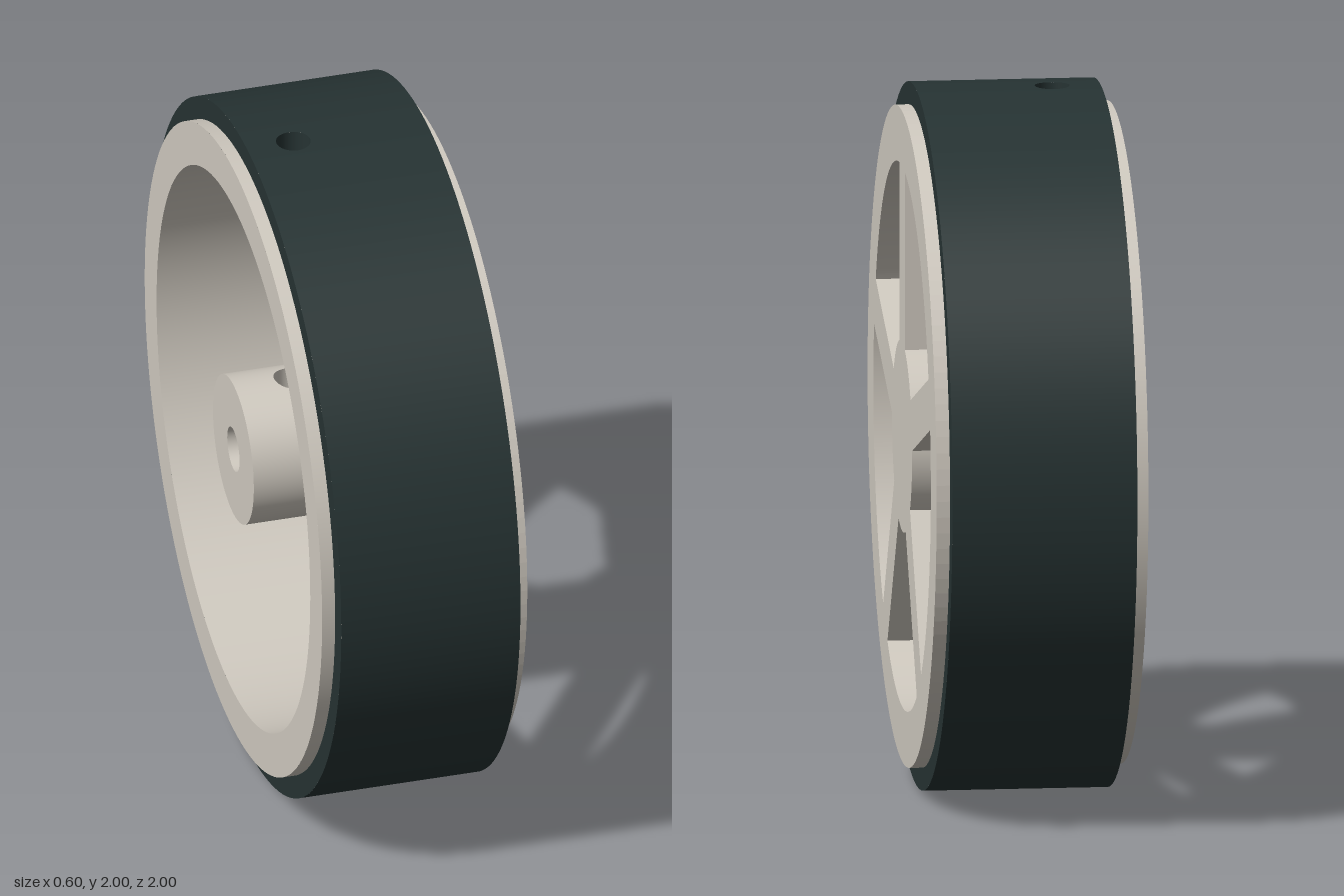
import * as THREE from 'three';

const SEG = 128;
const HOLE_X = -0.125; // position of the radial access holes along the axle

const R = {
  tyre: 1, rim: 0.935, rimInner: 0.81, opening: 0.777, disc: 0.272, hub: 0.215, bore: 0.065,
};

// Grid surface from a point rule and a normal rule; each face is wound to match its normal
function surface(nu, nv, point, normal) {
  const pos = [], nor = [], idx = [];
  for (let j = 0; j <= nv; j++) {
    for (let i = 0; i <= nu; i++) {
      const p = point(i / nu, j / nv);
      pos.push(p.x, p.y, p.z);
      nor.push(...normal(p).normalize().toArray());
    }
  }
  const at = (arr, k) => new THREE.Vector3().fromArray(arr, k * 3);
  const tri = (a, b, c) => {
    const A = at(pos, a);
    const n = at(pos, b).sub(A).cross(at(pos, c).sub(A));
    if (n.dot(at(nor, a)) >= 0) idx.push(a, b, c);
    else idx.push(a, c, b);
  };
  for (let j = 0; j < nv; j++) {
    for (let i = 0; i < nu; i++) {
      const a = j * (nu + 1) + i, b = a + 1, c = a + nu + 1, d = c + 1;
      tri(a, b, d);
      tri(a, d, c);
    }
  }
  const g = new THREE.BufferGeometry();
  g.setAttribute('position', new THREE.Float32BufferAttribute(pos, 3));
  g.setAttribute('normal', new THREE.Float32BufferAttribute(nor, 3));
  g.setIndex(idx);
  return g;
}

const onCylinder = (r, x, z) => new THREE.Vector3(x, Math.sqrt(Math.max(0, r * r - z * z)), z);

// Cylinder wall around the x axis with a round hole of radius hr at its top; sign -1 faces inward
function piercedWall(r, x0, x1, hr, sign) {
  const w = hr + 0.5 * (r - hr);
  const a = Math.asin(w / r);
  const normal = (p) => new THREE.Vector3(0, p.y * sign, p.z * sign);
  const arc = surface(SEG, 1, (u, v) => {
    const t = a + u * 2 * (Math.PI - a);
    return new THREE.Vector3(x0 + v * (x1 - x0), r * Math.cos(t), r * Math.sin(t));
  }, normal);
  const corners = [[x0, -w], [x1, -w], [x1, w], [x0, w], [x0, -w]];
  const patch = surface(96, 12, (u, v) => {
    const k = Math.min(3, Math.floor(u * 4 + 1e-9)), f = u * 4 - k;
    const ex = THREE.MathUtils.lerp(corners[k][0], corners[k + 1][0], f);
    const ez = THREE.MathUtils.lerp(corners[k][1], corners[k + 1][1], f);
    const t = Math.atan2(ez, ex - HOLE_X);
    return onCylinder(r,
      THREE.MathUtils.lerp(HOLE_X + hr * Math.cos(t), ex, v),
      THREE.MathUtils.lerp(hr * Math.sin(t), ez, v));
  }, normal);
  return [arc, patch];
}

// Side wall of a radial hole between two cylinder radii
function holeWall(rIn, rOut, hr) {
  return surface(48, 1, (u, v) => {
    const t = u * Math.PI * 2;
    return onCylinder(v ? rOut : rIn, HOLE_X + hr * Math.cos(t), hr * Math.sin(t));
  }, (p) => new THREE.Vector3(HOLE_X - p.x, 0, -p.z));
}

// Flat ring or disc facing along +x (dir 1) or -x (dir -1)
function face(rIn, rOut, x, dir) {
  const g = rIn > 0 ? new THREE.RingGeometry(rIn, rOut, SEG) : new THREE.CircleGeometry(rOut, 48);
  return g.rotateY(dir * Math.PI / 2).translate(x, 0, 0);
}

// Spoked plate: disc with five wedge openings between parallel-sided spokes
function spokePlate(x0, x1) {
  const shape = new THREE.Shape().absarc(0, 0, R.rim, 0, Math.PI * 2);
  const half = 0.072, step = Math.PI * 2 / 5;
  const aOut = Math.asin(half / R.opening), aIn = Math.asin(half / R.disc);
  for (let k = 0; k < 5; k++) {
    const s = Math.PI / 2 + k * step, e = s + step;
    const hole = new THREE.Path();
    hole.absarc(0, 0, R.opening, s + aOut, e - aOut, false);
    hole.absarc(0, 0, R.disc, e - aIn, s + aIn, true);
    hole.closePath();
    shape.holes.push(hole);
  }
  const g = new THREE.ExtrudeGeometry(shape, { depth: x1 - x0, bevelEnabled: false, curveSegments: 64 });
  return g.rotateY(Math.PI / 2).translate(x0, 0, 0);
}

export function createModel() {
  const rubber = new THREE.MeshStandardMaterial({ color: 0x263333 });
  rubber.name = 'dark rubber';
  const plastic = new THREE.MeshStandardMaterial({ color: 0xd0cac0 });
  plastic.name = 'pale plastic';

  const model = new THREE.Group();
  model.name = 'wheel';
  const part = (name, material, geometries) => {
    const group = new THREE.Group();
    group.name = name;
    geometries.forEach((g) => {
      const mesh = new THREE.Mesh(g, material);
      mesh.name = name;
      group.add(mesh);
    });
    group.position.y = 1;
    model.add(group);
  };

  const end = 0.3, plate = 0.2, tread = 0.262;
  const tyreHole = 0.049, rimHole = 0.094, hubHole = 0.056;

  // Tyre with a small access hole
  part('tyre', rubber, [
    ...piercedWall(R.tyre, -tread, tread, tyreHole, 1),
    ...piercedWall(R.rim, -tread, tread, tyreHole, -1),
    holeWall(R.rim, R.tyre, tyreHole),
    face(R.rim, R.tyre, tread, 1),
    face(R.rim, R.tyre, -tread, -1),
  ]);

  // Rim barrel, open at the -x end
  part('rim', plastic, [
    ...piercedWall(R.rim, -end, plate, rimHole, 1),
    ...piercedWall(R.rimInner, -end, plate, rimHole, -1),
    holeWall(R.rimInner, R.rim, rimHole),
    face(R.rimInner, R.rim, -end, -1),
  ]);

  // Five spokes with the centre disc and outer ring
  part('spokes', plastic, [spokePlate(plate, end)]);

  // Hub with a blind axle bore and a set screw hole
  part('hub', plastic, [
    ...piercedWall(R.hub, -end, plate, hubHole, 1),
    ...piercedWall(R.bore, -end, plate, hubHole, -1),
    holeWall(R.bore, R.hub, hubHole),
    face(R.bore, R.hub, -end, -1),
    face(0, R.bore, plate - 0.002, -1),
  ]);

  return model;
}
